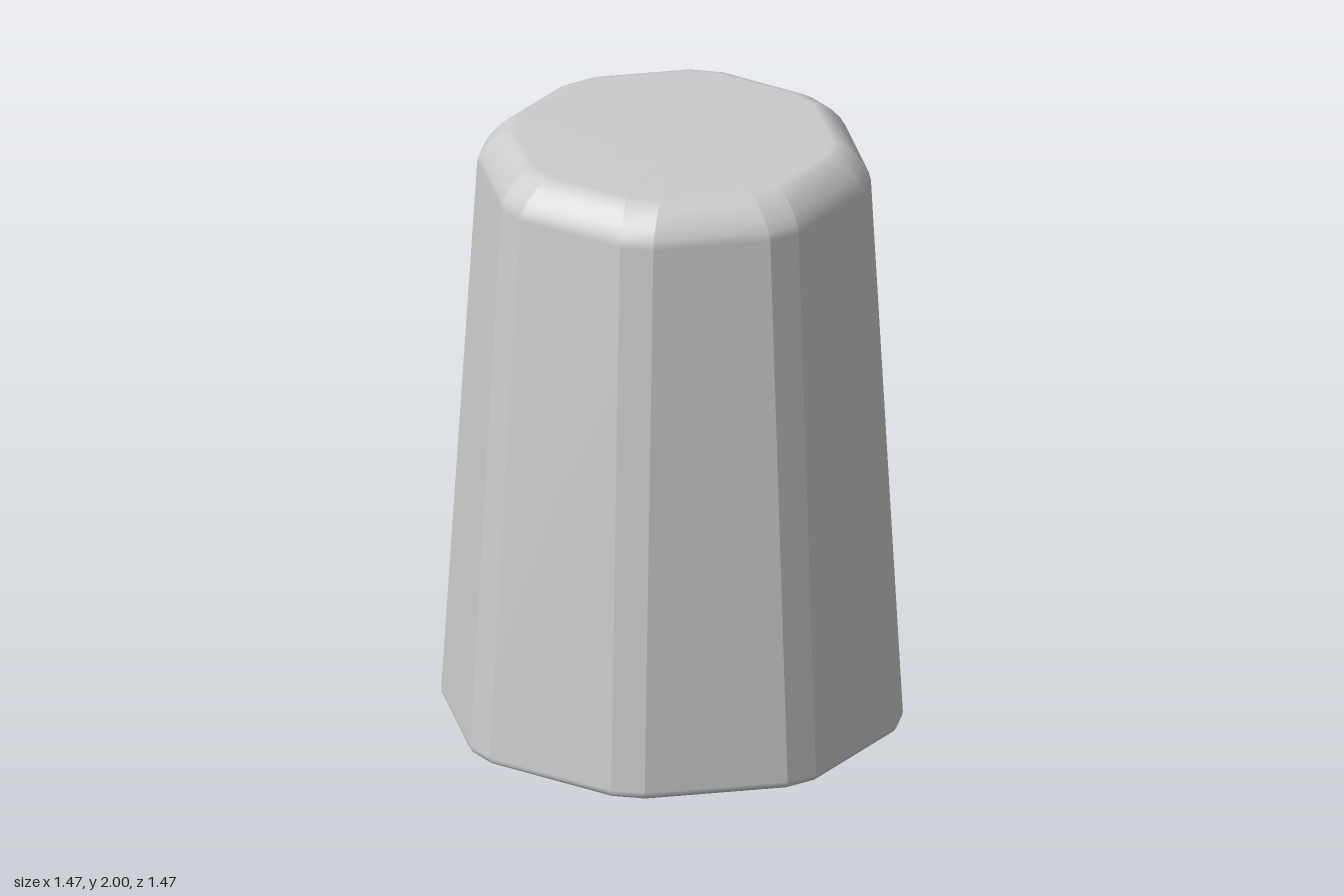
import * as THREE from 'three';

const TURN = 0.055;      // twist of the eight-sided plan
const HALF_CUT = 0.054;  // half the width of each cut-off corner

// Corner c (0..15) of the cut octagon with the given corner radius
function corner(c, r, y) {
  if (r === 0) return [0, y, 0];
  const half = Math.asin(HALF_CUT / r);
  const a = TURN + Math.floor(c / 2) * Math.PI / 4 + (c % 2 ? half : -half);
  return [r * Math.cos(a), y, r * Math.sin(a)];
}

// Sweep a [radius, height] profile round the octagon: smooth along the
// profile, with a sharp edge between neighbouring facets
function facetedShell(profile) {
  const positions = [], index = [];
  for (let c = 0; c < 16; c++) {
    const base = positions.length / 3;
    for (const [r, y] of profile) {
      positions.push(...corner(c, r, y), ...corner(c + 1, r, y));
    }
    for (let i = 0; i < profile.length - 1; i++) {
      const L = base + i * 2, R = L + 1, l = L + 2, r = L + 3;
      if (profile[i + 1][0] > 0) index.push(L, r, l);
      if (profile[i][0] > 0) index.push(L, R, r);
    }
  }
  const geometry = new THREE.BufferGeometry();
  geometry.setAttribute('position', new THREE.Float32BufferAttribute(positions, 3));
  geometry.setIndex(index);
  geometry.computeVertexNormals();
  return geometry;
}

export function createModel() {
  const material = new THREE.MeshStandardMaterial({ color: 0xcccccc });

  // Outside: flat base on top, rounded shoulder, tapering wall, rounded lip
  const outside = [
    [0, 1.978], [0.5, 1.978], [0.53, 1.971], [0.565, 1.95],
    [0.598, 1.915], [0.619, 1.882], [0.626, 1.855],
    [0.735, 0.025], [0.733, 0.012], [0.726, 0.003], [0.714, 0],
  ];
  // Inside: lip, wall and the closed end of the hollow
  const inside = [
    [0.702, 0.003], [0.695, 0.012], [0.692, 0.025],
    [0.584, 1.84], [0.568, 1.885], [0.53, 1.92], [0.49, 1.93], [0, 1.93],
  ];

  const cup = new THREE.Mesh(facetedShell([...outside, ...inside]), material);
  cup.name = 'upturnedCup';
  // Slight lean to the back right
  cup.rotation.set(-0.0134, 0, 0.0118);
  cup.position.y = 0.013;

  const group = new THREE.Group();
  group.name = 'cup';
  group.add(cup);
  return group;
}
